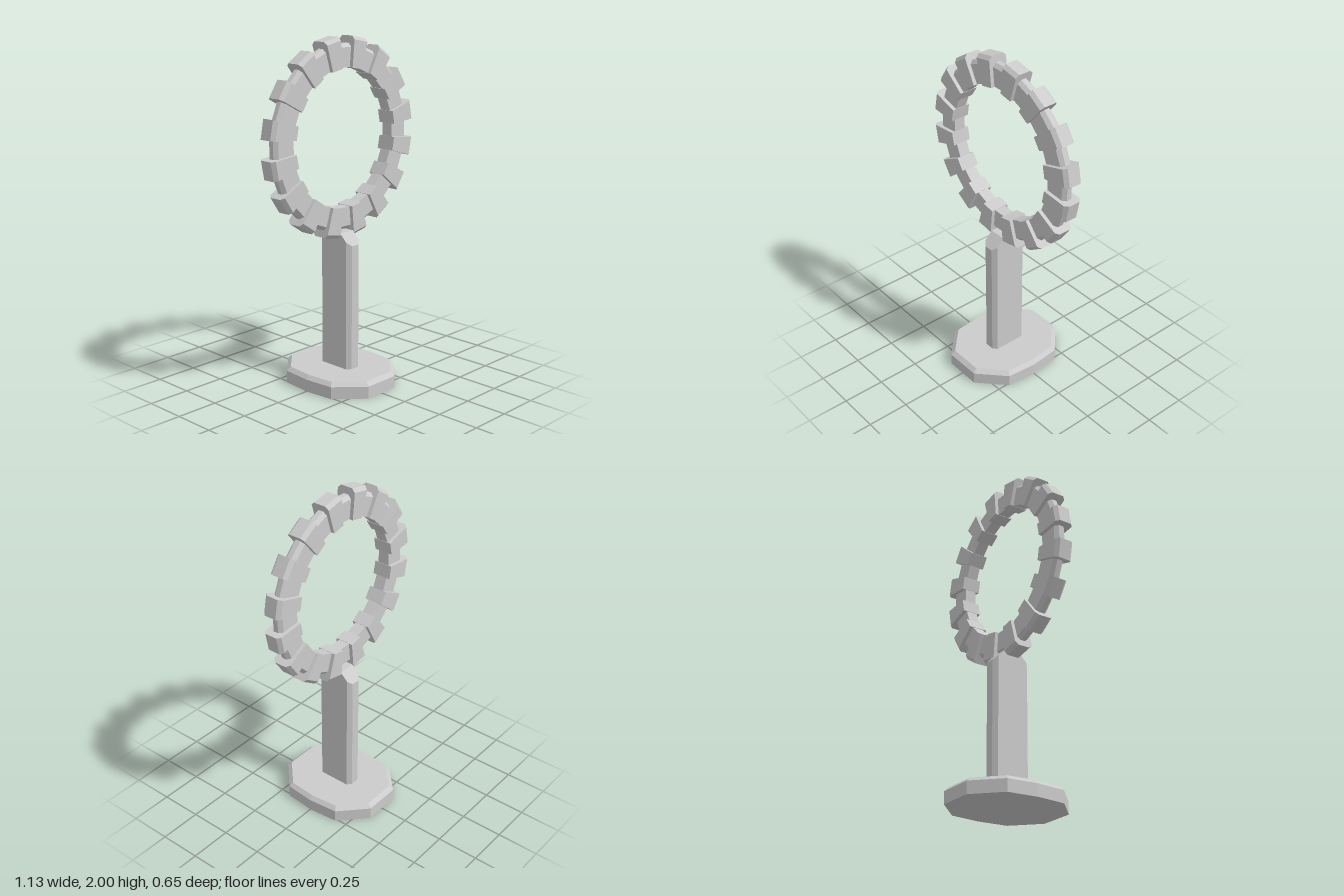
import * as THREE from 'three';

const material = new THREE.MeshStandardMaterial({ color: 0xcccccc, flatShading: true });

// Skin a row of convex sections; each runs counter-clockwise seen from the far end.
function loft(sections, closed = false) {
  const pos = [];
  const tri = (...pts) => pts.forEach((p) => pos.push(...p));
  const n = sections[0].length;
  const last = sections.length - 1;
  for (let s = 0; s < (closed ? last + 1 : last); s++) {
    const a = sections[s];
    const b = sections[(s + 1) % sections.length];
    for (let i = 0; i < n; i++) {
      const j = (i + 1) % n;
      tri(a[i], a[j], b[j]);
      tri(a[i], b[j], b[i]);
    }
  }
  if (!closed) {
    for (let i = 1; i < n - 1; i++) {
      tri(sections[0][0], sections[0][i + 1], sections[0][i]);
      tri(sections[last][0], sections[last][i], sections[last][i + 1]);
    }
  }
  const geometry = new THREE.BufferGeometry();
  geometry.setAttribute('position', new THREE.Float32BufferAttribute(pos, 3));
  geometry.computeVertexNormals();
  return geometry;
}

// Radial section of the hoop at an angle, with the outer corners chamfered.
function hoopSection(angle, inner, outer, half, chamfer) {
  const profile = [
    [-half, inner], [half, inner], [half, outer - chamfer],
    [half - chamfer, outer], [chamfer - half, outer], [-half, outer - chamfer],
  ];
  return profile.map(([z, r]) => [r * Math.cos(angle), r * Math.sin(angle), z]);
}

function part(name, geometry, parent) {
  const mesh = new THREE.Mesh(geometry, material);
  mesh.name = name;
  parent.add(mesh);
  return mesh;
}

export function createModel() {
  const model = new THREE.Group();
  model.name = 'ringOnStand';

  // Faceted base plate with a bevelled top edge
  const quarter = [[0.11, 0.327], [0.263, 0.18], [0.28, 0]];
  const rightSide = [...quarter, ...quarter.slice(0, 2).reverse().map(([x, z]) => [x, -z])];
  const outline = [...rightSide, ...rightSide.map(([x, z]) => [-x, -z])];
  const baseLevels = [[0, 1], [0.072, 1], [0.095, 0.925]];
  part('base', loft(baseLevels.map(([y, k]) => outline.map(([x, z]) => [x * k, y, z * k]))), model);

  // Flat post with chamfered corners and a sloped top, built front to back
  const postSections = [
    [-0.117, 0.027], [-0.095, 0.052], [-0.05, 0.052],
    [0.05, 0.052], [0.095, 0.052], [0.117, 0.027],
  ].map(([z, x]) => {
    const top = 0.95 - Math.abs(z);
    return [[-x, 0.08, z], [x, 0.08, z], [x, top, z], [-x, top, z]];
  });
  part('post', loft(postSections), model);

  // Upright hoop: a thin core ring with thicker wedge blocks around it
  const hoop = new THREE.Group();
  hoop.name = 'hoop';
  hoop.position.y = 1.435;
  model.add(hoop);

  const blocks = 16;
  const step = (Math.PI * 2) / blocks;
  const coreSections = [];
  for (let i = 0; i < blocks * 2; i++) {
    coreSections.push(hoopSection((i + 0.5) * step / 2, 0.396, 0.527, 0.035, 0.02));
  }
  part('coreRing', loft(coreSections, true), hoop);

  const block = loft([-1, 1].map((s) => hoopSection(s * step / 4, 0.394, 0.568, 0.057, 0.02)));
  for (let i = 0; i < blocks; i++) {
    part('ringBlock', block, hoop).rotation.z = (i + 0.5) * step;
  }
  return model;
}
